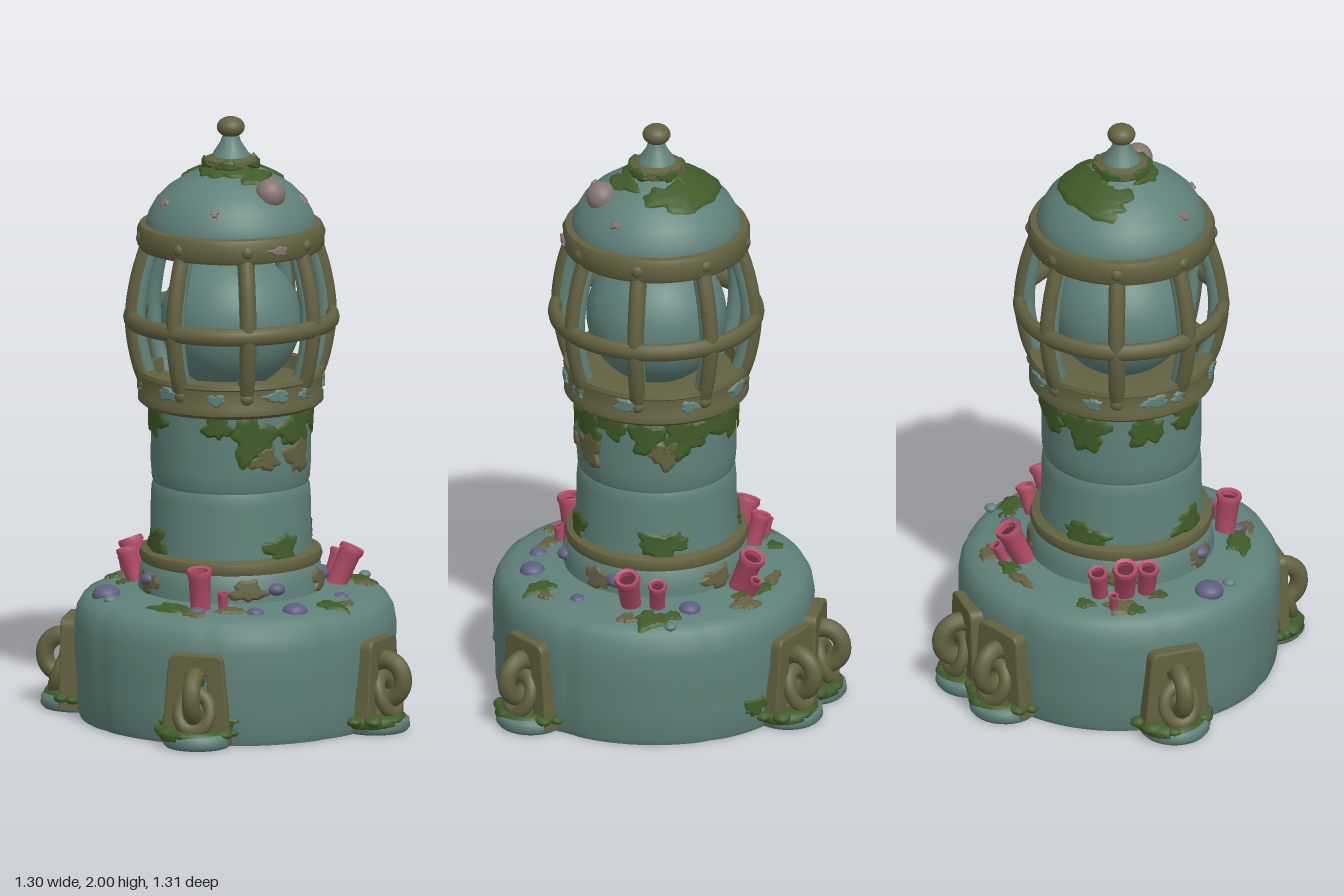
import * as THREE from 'three';
import { toCreasedNormals } from 'three/addons/utils/BufferGeometryUtils.js';

const material = (name, color) => {
  const m = new THREE.MeshStandardMaterial({ color });
  m.name = name;
  return m;
};

// Profiles are [radius, height] points, followed with the outside on the right
const BASE = [[0, 0.395], [0.25, 0.39], [0.36, 0.375], [0.43, 0.345], [0.465, 0.28], [0.475, 0.15], [0.475, 0], [0.51, 0],
  [0.518, 0.02], [0.52, 0.12], [0.527, 0.22], [0.528, 0.31], [0.52, 0.36], [0.5, 0.395], [0.46, 0.412], [0.38, 0.42],
  [0.31, 0.43], [0.25, 0.435]];
const COLLAR = [[0.305, 0.41], [0.302, 0.46], [0.295, 0.51], [0.28, 0.53]];
const COLUMN = [[0.272, 0.53], [0.264, 0.62], [0.262, 0.74], [0.259, 0.772], [0.254, 0.785], [0.259, 0.798],
  [0.263, 0.85], [0.262, 0.95], [0.264, 1.06]];
const LOWER_RING = [[0.24, 1.05], [0.29, 1.045], [0.304, 1.057], [0.304, 1.08], [0.299, 1.09], [0.3, 1.14],
  [0.306, 1.145], [0.302, 1.16], [0.26, 1.165], [0.25, 1.12], [0, 1.12]];
const UPPER_RING = [[0.25, 1.6], [0.262, 1.567], [0.299, 1.565], [0.307, 1.578], [0.307, 1.628], [0.299, 1.645], [0.26, 1.65]];
const DOME = [[0, 1.6], [0.275, 1.6], [0.28, 1.64], [0.27, 1.68], [0.245, 1.725], [0.205, 1.765], [0.155, 1.798],
  [0.1, 1.825], [0.07, 1.842]];
const FINIAL_COLLAR = [[0.075, 1.822], [0.088, 1.838], [0.086, 1.862], [0.06, 1.872]];

// Slightly uneven outline with worn joints for the base
const JOINTS = [0.03, 0.85, 1.6, 2.55, 3.7, 4.68, 5.5];
function unevenScale(a) {
  let k = 1 + 0.006 * Math.sin(3 * a + 1) + 0.004 * Math.sin(5 * a);
  for (const j of JOINTS) {
    const d = Math.atan2(Math.sin(a - j), Math.cos(a - j));
    k -= 0.01 * Math.exp(-((d / 0.05) ** 2));
  }
  return k;
}
function roughen(geo) {
  const p = geo.attributes.position;
  for (let i = 0; i < p.count; i++) {
    const k = unevenScale(Math.atan2(p.getX(i), p.getZ(i)));
    p.setX(i, p.getX(i) * k);
    p.setZ(i, p.getZ(i) * k);
  }
  return geo;
}

const lathe = (points, segments = 64) =>
  new THREE.LatheGeometry(points.map(([r, y]) => new THREE.Vector2(r, y)), segments);

// Ragged growth lying on a turned surface, centred nearest to radius r and height y
function patchGeometry(profile, a, r, y, width, height, seed) {
  const lengths = [0];
  for (let i = 1; i < profile.length; i++)
    lengths.push(lengths[i - 1] + Math.hypot(profile[i][0] - profile[i - 1][0], profile[i][1] - profile[i - 1][1]));
  const total = lengths.at(-1);
  const at = (s) => {
    s = Math.min(Math.max(s, 0), total - 1e-5);
    let i = 0;
    while (lengths[i + 1] <= s) i++;
    const [p, q] = [profile[i], profile[i + 1]], len = lengths[i + 1] - lengths[i], t = (s - lengths[i]) / len;
    return { r: p[0] + (q[0] - p[0]) * t, y: p[1] + (q[1] - p[1]) * t, nr: (q[1] - p[1]) / len, ny: (p[0] - q[0]) / len };
  };
  let s0 = 0, best = 9;
  for (let i = 0; i <= 300; i++) {
    const p = at(total * i / 300), d = Math.hypot(p.r - r, p.y - y);
    if (d < best) { best = d; s0 = total * i / 300; }
  }
  const N = 36, RINGS = 6, pos = [], index = [];
  for (let k = 0; k <= RINGS; k++) for (let i = 0; i < N; i++) {
    const f = i / N * Math.PI * 2;
    const edge = 1 + 0.18 * Math.sin(3 * f + seed) + 0.13 * Math.sin(5 * f + seed * 2.3) + 0.1 * Math.sin(9 * f + seed * 1.7);
    const q = k / RINGS * edge;
    const p = at(s0 + height * q * Math.sin(f));
    const lift = k === RINGS ? 0.001 : 0.009;
    const angle = a + width * q * Math.cos(f) / Math.max(r, 0.05), R = p.r + p.nr * lift;
    pos.push(R * Math.sin(angle), p.y + p.ny * lift, R * Math.cos(angle));
    if (k) {
      const j = (i + 1) % N, b = (k - 1) * N, c = k * N;
      index.push(b + i, c + i, c + j, b + i, c + j, b + j);
    }
  }
  const geo = new THREE.BufferGeometry();
  geo.setAttribute('position', new THREE.Float32BufferAttribute(pos, 3));
  geo.setIndex(index);
  geo.computeVertexNormals();
  return geo;
}

export function createModel() {
  const stone = material('weathered teal', 0x5f8179), bronze = material('old bronze', 0x626140);
  const moss = material('moss green', 0x405b28), coral = material('coral pink', 0xb34d67);
  const deep = material('coral hollow', 0x5e2736), purple = material('dusky purple', 0x5f5e80);
  const shell = material('shell grey', 0x857572);
  const model = new THREE.Group();

  const add = (name, geo, mat, parent = model, x = 0, y = 0, z = 0) => {
    const m = new THREE.Mesh(geo, mat);
    m.name = name;
    m.position.set(x, y, z);
    parent.add(m);
    return m;
  };
  const turned = (name, points, mat) => add(name, toCreasedNormals(lathe(points), 0.7), mat);
  let seed = 1;
  const patch = (name, mat, profile, a, r, y, w, h, parent = model) => {
    const geo = patchGeometry(profile, a, r, y, w, h, seed += 1.37);
    return add(name, profile === BASE ? roughen(geo) : geo, mat, parent);
  };

  // Hollow base
  const base = new THREE.Group();
  base.name = 'base';
  base.position.x = 0.014;
  model.add(base);
  add('baseShell', toCreasedNormals(roughen(lathe(BASE, 128)), 0.9), stone, base);
  for (const [x, z, w, h, mat] of [[-0.13, -0.39, 0.06, 0.02, bronze], [-0.04, -0.4, 0.045, 0.03, moss],
    [0.08, -0.42, 0.05, 0.04, bronze], [0.05, -0.38, 0.03, 0.02, moss], [0.36, -0.24, 0.055, 0.055, moss],
    [0.4, -0.17, 0.03, 0.03, bronze], [0.3, -0.28, 0.03, 0.025, moss], [0.37, 0.2, 0.04, 0.055, moss],
    [0.41, 0.15, 0.03, 0.02, bronze], [-0.13, 0.37, 0.08, 0.04, moss], [0.07, 0.37, 0.05, 0.025, bronze],
    [-0.04, 0.43, 0.04, 0.02, bronze], [-0.4, -0.14, 0.05, 0.04, bronze], [-0.34, -0.24, 0.03, 0.025, moss],
    [-0.43, -0.1, 0.03, 0.025, moss], [-0.38, 0.0, 0.03, 0.02, moss]])
    patch('baseGrowth', mat, BASE, Math.atan2(x, z), Math.hypot(x, z), 0.42, w, h, base);
  for (const [a, y] of [[0.13, 0.37], [2.87, 0.39], [-0.2, 0.36]])
    patch('edgeMoss', moss, BASE, a, 0.52, y - 0.3, 0.05, 0.03, base);

  // Collar, column and lantern body
  turned('collar', COLLAR, stone);
  turned('collarRim', [[0.27, 0.515], [0.295, 0.522], [0.301, 0.54], [0.296, 0.558], [0.262, 0.57]], bronze);
  turned('column', COLUMN, stone);
  turned('lowerCageRing', LOWER_RING, bronze);
  turned('upperCageRing', UPPER_RING, bronze);
  turned('dome', DOME, stone);
  add('globe', new THREE.SphereGeometry(0.23, 40, 28), stone, model, 0, 1.32, 0);

  // Cage bars: bronze outside, teal inside
  add('cageHoop', new THREE.TorusGeometry(0.333, 0.022, 12, 64).rotateX(Math.PI / 2).scale(1, 1.35, 1), bronze, model, 0.002, 1.33, 0);
  const bar = (inset, radius) => new THREE.TubeGeometry(new THREE.CatmullRomCurve3(
    [[0.275, 1.11], [0.304, 1.19], [0.326, 1.33], [0.309, 1.47], [0.27, 1.6]]
      .map(([r, y]) => new THREE.Vector3(0, y, r - inset))), 24, radius, 12);
  const outer = bar(0, 0.027), inner = bar(0.014, 0.0275);
  const stud = new THREE.SphereGeometry(0.026, 12, 8);
  for (let i = 0; i < 8; i++) {
    const rib = new THREE.Group();
    rib.name = 'cageBar';
    rib.rotation.y = (i + 0.5) * Math.PI / 4;
    add('barOutside', outer, bronze, rib);
    add('barInside', inner, stone, rib);
    add('upperStud', stud, bronze, rib, 0, 1.605, 0.29);
    add('lowerStud', stud, bronze, rib, 0, 1.115, 0.286);
    model.add(rib);
  }

  // Finial
  turned('finialCollar', FINIAL_COLLAR, bronze);
  turned('finialStem', [[0.065, 1.865], [0.055, 1.885], [0.035, 1.915], [0.026, 1.94]], stone);
  add('finialKnob', new THREE.SphereGeometry(0.046, 24, 16), bronze, model, 0, 1.966, 0).scale.y = 0.75;
  for (const a of [0.1, 1.4, 2.6, 3.9, 5.2])
    patch('finialMoss', moss, FINIAL_COLLAR, a, 0.087, 1.85, 0.04, 0.016);

  // Moss, stains and wear on dome, column, collar and rings
  for (const [a, r, y, w, h] of [[3.35, 0.15, 1.8, 0.15, 0.08], [2.55, 0.15, 1.8, 0.09, 0.06],
    [4.0, 0.15, 1.8, 0.09, 0.06], [1.0, 0.12, 1.815, 0.07, 0.045], [0, 0.09, 1.83, 0.06, 0.035], [-0.8, 0.09, 1.83, 0.05, 0.03]])
    patch('domeMoss', moss, DOME, a, r, y, w, h);
  for (const [a, y, w, h] of [[0, 1.72, 0.012, 0.012], [-0.9, 1.73, 0.018, 0.016], [1.6, 1.73, 0.018, 0.016]])
    patch('domeSpeck', shell, DOME, a, 0.24, y, w, h);
  for (const [a, y, w, h, mat] of [[0.66, 0.9, 0.05, 0.04, bronze], [1.2, 0.9, 0.06, 0.06, bronze],
    [2.3, 0.93, 0.06, 0.05, bronze], [0.5, 0.97, 0.075, 0.08, moss], [0.05, 1.015, 0.05, 0.045, moss],
    [1.15, 0.99, 0.08, 0.065, moss], [1.6, 1.015, 0.06, 0.045, moss], [2.05, 0.99, 0.06, 0.06, moss],
    [2.5, 0.98, 0.07, 0.075, moss], [2.9, 1.01, 0.07, 0.05, moss], [3.3, 0.99, 0.08, 0.06, moss],
    [3.9, 0.98, 0.08, 0.07, moss], [-1.0, 1.01, 0.07, 0.055, moss], [-1.6, 0.99, 0.06, 0.06, moss],
    [-0.95, 0.595, 0.07, 0.045, moss], [0.9, 0.595, 0.065, 0.045, moss], [2.25, 0.6, 0.08, 0.05, moss],
    [3.9, 0.59, 0.08, 0.04, moss]])
    patch('columnMoss', mat, COLUMN, a, 0.262, y, w, h);
  for (const a of [0.4, 1.5, 2.9, 4.4, 5.4]) {
    patch('collarStain', bronze, COLLAR, a, 0.3, 0.47, 0.06, 0.035);
    patch('ringWear', stone, LOWER_RING, a + 0.35, 0.3, 1.115, 0.045, 0.022);
    patch('ringWear', stone, LOWER_RING, a - 0.35, 0.3, 1.11, 0.03, 0.02);
  }
  patch('rimSpeck', shell, UPPER_RING, 0.75, 0.307, 1.605, 0.035, 0.014);

  // Anchor lugs: mossy foot, framed plate and chain links
  const plate = (s, cut) => {
    const shape = new THREE.Shape();
    shape.moveTo(-0.108 * s, 0.02).lineTo(0.108 * s, 0.02).lineTo(0.085 * s, 0.28)
      .quadraticCurveTo(0.082 * s, 0.303, 0.06 * s, 0.303).lineTo(-0.06 * s, 0.303)
      .quadraticCurveTo(-0.082 * s, 0.303, -0.085 * s, 0.28).closePath();
    if (cut) shape.holes.push(new THREE.Path().moveTo(-0.055, 0.06).lineTo(-0.042, 0.245).lineTo(0.042, 0.245).lineTo(0.055, 0.06).closePath());
    return shape;
  };
  const extrude = (shape, depth) => new THREE.ExtrudeGeometry(shape,
    { depth, bevelEnabled: true, bevelSize: 0.007, bevelThickness: 0.006, bevelSegments: 2 });
  const backGeo = extrude(plate(0.95, false), 0.06), frameGeo = extrude(plate(1, true), 0.06);
  const linkGeo = new THREE.TorusGeometry(0.062, 0.03, 12, 28).rotateY(Math.PI / 2).scale(1, 1.05, 1);
  const archGeo = new THREE.TorusGeometry(0.052, 0.022, 10, 24).scale(1, 1.2, 1).rotateX(-0.35);
  const foot = toCreasedNormals(lathe([[0, 0], [0.105, 0], [0.115, 0.012], [0.112, 0.04], [0.095, 0.052], [0, 0.055]], 28), 0.9);
  const bump = new THREE.SphereGeometry(0.036, 10, 7);
  for (const [a, r] of [[0, 0], [-Math.PI / 2, 0.006], [1.3, 0.02], [Math.PI, 0.01], [Math.PI + 0.4, 0.005]]) {
    const lug = new THREE.Group();
    lug.name = 'anchorLug';
    lug.rotation.y = a;
    lug.position.set(Math.sin(a) * r, 0, Math.cos(a) * r);
    add('lugFoot', foot, stone, lug, 0, 0, 0.515);
    add('footMossBed', foot, moss, lug, -0.012, 0.02, 0.513).scale.set(1, 0.75, 0.96);
    add('lugBack', backGeo, bronze, lug, 0, 0, 0.455);
    add('lugFrame', frameGeo, bronze, lug, 0, 0, 0.482);
    add('link', linkGeo, bronze, lug, 0, 0.172, 0.556);
    add('crossLink', archGeo, bronze, lug, 0, 0.12, 0.562);
    for (const [x, z, s] of [[-0.085, 0.555, 1], [0.09, 0.54, 0.8], [-0.03, 0.6, 0.7], [-0.115, 0.5, 0.8], [0.11, 0.5, 0.7]])
      add('footMoss', bump, moss, lug, x, 0.045, z).scale.set(1.2 * s, 0.6 * s, s);
    model.add(lug);
  }

  // Tube corals leaning outward
  const tubeGeo = toCreasedNormals(lathe([[0, 0], [0.033, 0], [0.037, 0.11], [0.043, 0.125], [0.04, 0.138], [0.028, 0.134], [0.025, 0.08]], 16), 0.8);
  const hollow = new THREE.CircleGeometry(0.026, 16).rotateX(-Math.PI / 2);
  for (const [x, z, s, lean] of [[0.01, -0.335, 1.05, 0.45], [0.035, -0.395, 0.5, 0.5], [-0.315, -0.1, 1, 0.4],
    [-0.295, -0.18, 0.8, 0.3], [-0.325, -0.03, 0.85, 0.3], [-0.39, -0.165, 0.4, 0.2], [0.29, -0.205, 0.75, 0.35],
    [0.325, -0.125, 1, 0.45], [-0.025, 0.35, 1, 0.12], [0.05, 0.35, 0.45, 0.1]]) {
    const tube = new THREE.Group();
    tube.name = 'tubeCoral';
    tube.position.set(x, 0.42, z);
    tube.scale.setScalar(s);
    const l = Math.hypot(x, z);
    tube.quaternion.setFromUnitVectors(new THREE.Vector3(0, 1, 0), new THREE.Vector3(x / l * lean, 1, z / l * lean).normalize());
    add('coralTube', tubeGeo, coral, tube);
    add('coralHollow', hollow, deep, tube, 0, 0.118, 0);
    model.add(tube);
  }

  // Rounded growths and barnacles
  const blob = new THREE.SphereGeometry(1, 18, 12);
  for (const [x, y, z, s, mat] of [[-0.38, 0.415, 0.17, 0.048, purple], [-0.35, 0.415, 0.25, 0.022, stone],
    [0.28, 0.415, 0.3, 0.042, purple], [0.24, 0.42, -0.3, 0.036, purple], [0.38, 0.415, 0.05, 0.026, purple],
    [0.16, 0.415, 0.36, 0.03, purple], [-0.03, 0.415, 0.39, 0.03, purple], [0.285, 0.475, -0.04, 0.036, purple],
    [0.38, 0.415, -0.32, 0.02, stone], [-0.23, 0.48, 0.19, 0.03, purple], [0.2, 0.47, 0.22, 0.03, purple]])
    add('growth', blob, mat, model, x, y, z).scale.set(s, s * 0.7, s);
  add('barnacle', blob, shell, model, 0.157, 1.772, 0.112).scale.setScalar(0.05);

  return model;
}
